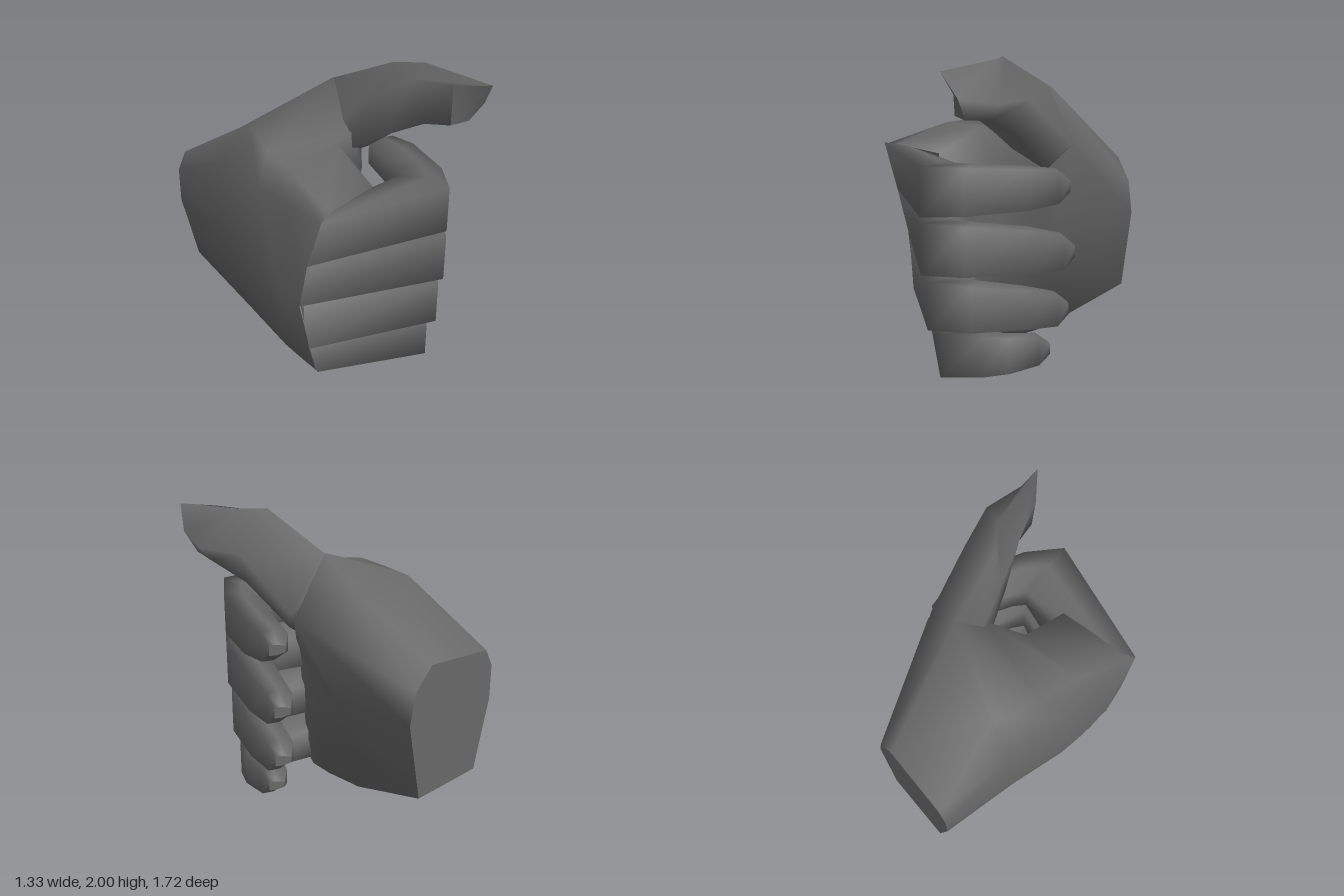
import * as THREE from 'three';

const material = new THREE.MeshStandardMaterial({ color: 0x686868 });

// Skin a list of equal-length rings of [x, y, z] smoothly and close both ends with flat caps.
function loft(name, rings) {
  const n = rings[0].length;
  const pos = rings.flat(2);
  const index = [];
  for (let r = 0; r < rings.length - 1; r++) {
    for (let i = 0; i < n; i++) {
      const a = r * n + i, b = r * n + (i + 1) % n;
      index.push(a, b, b + n, a, b + n, a + n);
    }
  }
  // Caps have their own corners, so their rims stay sharp.
  [rings[0], rings.at(-1)].forEach((ring, end) => {
    const first = pos.length / 3, c = first + n;
    pos.push(...ring.flat());
    for (let k = 0; k < 3; k++) pos.push(ring.reduce((s, p) => s + p[k], 0) / n);
    for (let i = 0; i < n; i++) {
      const a = first + i, b = first + (i + 1) % n;
      if (end) index.push(a, b, c); else index.push(b, a, c);
    }
  });
  // Turn the faces outward if the enclosed volume comes out negative.
  const v = (i) => new THREE.Vector3().fromArray(pos, i * 3);
  let volume = 0;
  for (let t = 0; t < index.length; t += 3) {
    volume += v(index[t]).dot(v(index[t + 1]).cross(v(index[t + 2])));
  }
  if (volume < 0) index.reverse();
  const geo = new THREE.BufferGeometry();
  geo.setAttribute('position', new THREE.Float32BufferAttribute(pos, 3));
  geo.setIndex(index);
  geo.computeVertexNormals();
  const mesh = new THREE.Mesh(geo, material);
  mesh.name = name;
  return mesh;
}

// Palm: rings from wrist to knuckles, each running
// ridge, back top, back upper, back middle, back lower, back bottom,
// inner bottom, inner middle, inner top.
function makePalm() {
  return loft('palm', [
    [[-0.07, 1.22, -0.86], [-0.55, 1.18, -0.86], [-0.61, 1.06, -0.86], [-0.61, 0.82, -0.86], [-0.56, 0.6, -0.86],
      [-0.5, 0.33, -0.86], [0, 0.3, -0.86], [0.1, 0.85, -0.86], [0.06, 1.07, -0.86]],
    [[0.17, 1.79, -0.13], [-0.39, 1.56, -0.3], [-0.6, 1.34, -0.33], [-0.63, 0.8, -0.33], [-0.58, 0.5, -0.28],
      [-0.48, 0.18, -0.23], [-0.04, 0.07, -0.23], [0.1, 0.75, -0.18], [0.43, 1.42, -0.15]],
    [[0.14, 1.5, 0.1], [-0.47, 1.52, 0], [-0.61, 1.35, 0.1], [-0.67, 0.78, 0.2], [-0.61, 0.42, 0.15],
      [-0.45, 0.06, 0.12], [-0.02, 0.05, 0.07], [0.08, 0.72, 0.08], [0.25, 1.17, 0.07]],
    [[-0.09, 1.53, 0.22], [-0.5, 1.5, 0.28], [-0.61, 1.37, 0.4], [-0.66, 0.77, 0.34], [-0.6, 0.37, 0.32],
      [-0.44, 0.04, 0.3], [-0.02, 0.05, 0.24], [0, 0.7, 0.25], [0.05, 1.12, 0.23]],
    [[-0.08, 1.37, 0.55], [-0.5, 1.38, 0.65], [-0.6, 1.37, 0.69], [-0.63, 0.75, 0.53], [-0.56, 0.34, 0.52],
      [-0.44, 0.04, 0.44], [-0.08, 0.05, 0.38], [-0.08, 0.7, 0.45], [-0.08, 1.12, 0.53]],
  ]);
}

// Thumb: rings running top, outer side, bottom outer, bottom inner, inner side.
function makeThumb() {
  return loft('thumb', [
    [[0.13, 1.7, -0.2], [0.38, 1.42, -0.2], [0.2, 1.18, -0.16], [0.06, 1.25, -0.14], [-0.05, 1.5, -0.2]],
    [[0.17, 1.79, -0.12], [0.44, 1.45, -0.12], [0.34, 1.29, 0.02], [0.1, 1.36, 0.08], [0.1, 1.55, 0.02]],
    [[0.29, 2.0, 0.29], [0.54, 1.76, 0.25], [0.46, 1.54, 0.31], [0.23, 1.53, 0.32], [0.18, 1.78, 0.24]],
    [[0.44, 2.0, 0.42], [0.66, 1.76, 0.52], [0.58, 1.66, 0.54], [0.38, 1.63, 0.5], [0.28, 1.95, 0.46]],
    [[0.58, 1.96, 0.86], [0.62, 1.8, 0.77], [0.57, 1.67, 0.7], [0.42, 1.68, 0.69], [0.41, 1.95, 0.7]],
  ]);
}

// Knuckle line down the edge of the hand; neighbouring fingers share a point.
const knuckles = [
  [-0.6, 1.38, 0.7], [-0.63, 1.04, 0.6], [-0.63, 0.7, 0.52], [-0.56, 0.34, 0.53], [-0.44, 0.03, 0.45],
];

// Finger bend seen from above: outer x, z, inner x, z, and height factor.
const bend = [
  [0.27, 0.86, 0.2, 0.48, 1],
  [0.42, 0.64, 0.25, 0.4, 0.95],
  [0.54, 0.25, 0.31, 0.22, 0.82],
  [0.55, 0.04, 0.37, 0, 0.66],
  [0.55, -0.04, 0.45, -0.08, 0.22],
];

// Heights are the finger's middle at joint and tip.
function makeFinger({ name, joint, tip, half, endX, frontZ, tipZ }, i) {
  const upper = knuckles[i], lower = knuckles[i + 1];
  const root = (p, t, dy) => [p[0] + 0.32 * t, p[1] + dy, p[2] - 0.2 * t];
  const rings = [[root(upper, 0, 0), root(upper, 0.45, 0), root(upper, 1, -0.06),
    root(lower, 1, 0.06), root(lower, 0.45, 0), root(lower, 0, 0)]];
  const blend = [0, 0.25, 0.6, 1, 1];
  bend.forEach(([ox, oz, ix, iz, f], s) => {
    const y = joint + (tip - joint) * blend[s], k = half * f;
    const dx = s > 1 ? endX - 0.55 : 0;
    const dz = s < 2 ? frontZ - 0.86 : tipZ + 0.08;
    const at = (t, h) => [ox + (ix - ox) * t + dx, y + h * k, oz + (iz - oz) * t + dz];
    rings.push([at(0, 0.94), at(0.45, 1), at(1, 0.6), at(1, -0.6), at(0.45, -1), at(0, -0.94)]);
  });
  return loft(name, rings);
}

export function createModel() {
  const hand = new THREE.Group();
  hand.name = 'hand';
  hand.add(makePalm(), makeThumb());
  const fingers = [
    { name: 'indexFinger', joint: 1.215, tip: 1.205, half: 0.165, endX: 0.55, frontZ: 0.86, tipZ: -0.08 },
    { name: 'middleFinger', joint: 0.86, tip: 0.78, half: 0.175, endX: 0.55, frontZ: 0.86, tipZ: -0.12 },
    { name: 'ringFinger', joint: 0.49, tip: 0.4, half: 0.165, endX: 0.53, frontZ: 0.82, tipZ: -0.09 },
    { name: 'littleFinger', joint: 0.15, tip: 0.14, half: 0.15, endX: 0.5, frontZ: 0.74, tipZ: 0.03 },
  ];
  fingers.forEach((f, i) => hand.add(makeFinger(f, i)));
  return hand;
}
